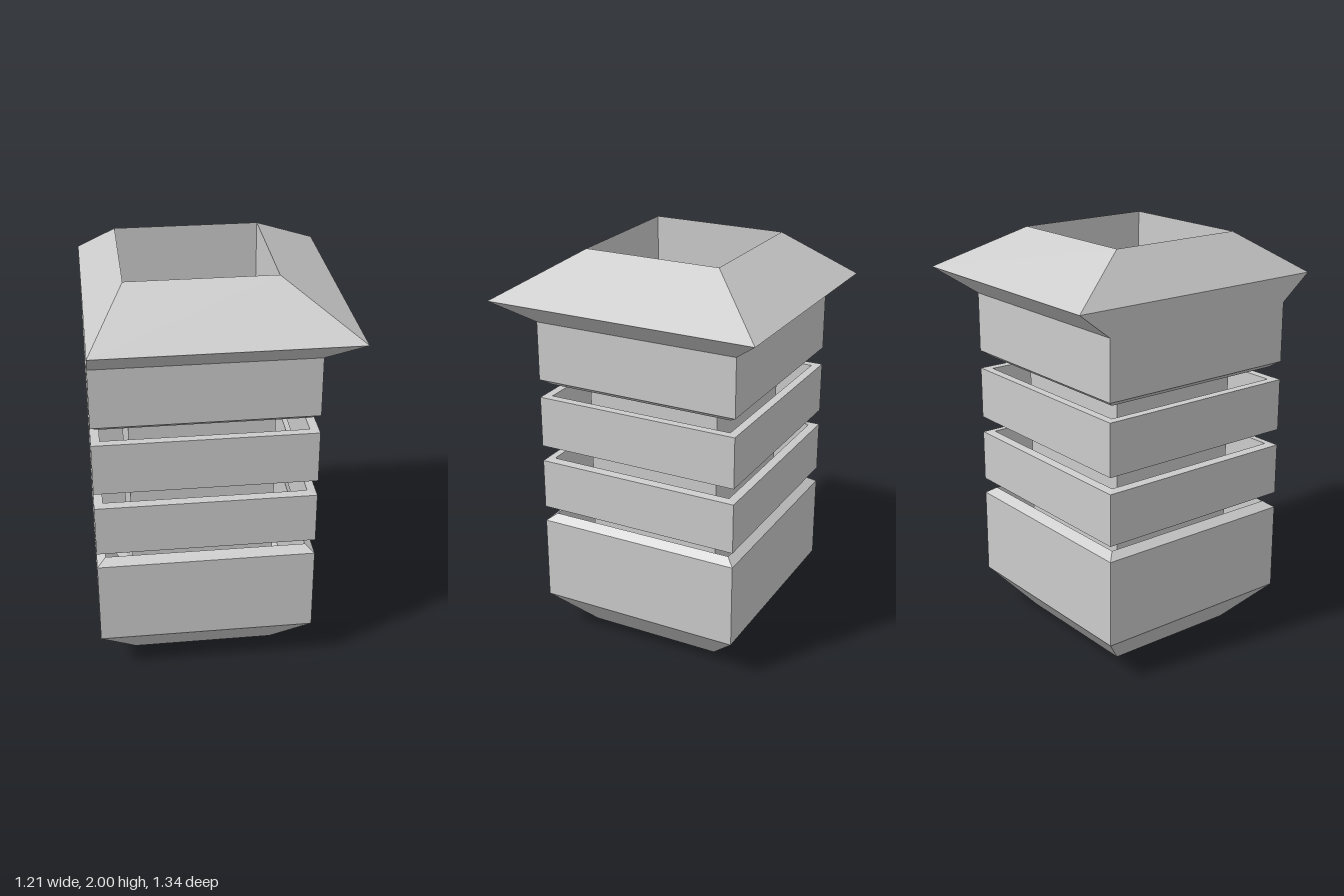
import * as THREE from 'three';

const material = new THREE.MeshStandardMaterial({
  color: 0xcccccc, flatShading: true, side: THREE.DoubleSide,
});

// Rectangular outlines at height y: [y, xMin, xMax, half depth]
const core = (y) => [y, -0.43, 0.262, 0.34];
const outer = (y) => [y, -0.607, 0.44, 0.515];
const lip = (y) => [y, -0.565, 0.398, 0.473];
const eave = (y) => [y, -0.607, 0.6, 0.672];

const corners = ([y, x0, x1, z]) => [[x0, y, z], [x1, y, z], [x1, y, -z], [x0, y, -z]];

// Joins successive rectangular outlines with flat four-sided bands
function loft(name, levels) {
  const points = [];
  for (let k = 0; k < levels.length - 1; k++) {
    const lo = corners(levels[k]);
    const hi = corners(levels[k + 1]);
    for (let i = 0; i < 4; i++) {
      const j = (i + 1) % 4;
      points.push(...lo[i], ...lo[j], ...hi[j], ...lo[i], ...hi[j], ...hi[i]);
    }
  }
  const geometry = new THREE.BufferGeometry();
  geometry.setAttribute('position', new THREE.Float32BufferAttribute(points, 3));
  geometry.computeVertexNormals();
  const mesh = new THREE.Mesh(geometry, material);
  mesh.name = name;
  return mesh;
}

export function createModel() {
  const model = new THREE.Group();
  model.name = 'squareShaft';

  // Open inner tube running the full height
  model.add(loft('innerTube', [core(0), core(2)]));

  // Base with a tapered foot, bevelled rim and inner wall
  model.add(loft('base', [core(0), outer(0.2), outer(0.625), lip(0.655), lip(0.16)]));

  // Two floating hollow bands, bevelled slightly where they face each other
  model.add(loft('lowerBand', [lip(0.703), outer(0.703), outer(0.955), lip(0.96), lip(0.703)]));
  model.add(loft('upperBand', [lip(1.03), outer(1.035), outer(1.29), lip(1.29), lip(1.03)]));

  // Head with a bevelled rim, overhanging eave and sloped roof
  model.add(loft('head', [lip(1.67), lip(1.35), outer(1.38), outer(1.67), eave(1.793), core(2)]));

  return model;
}
